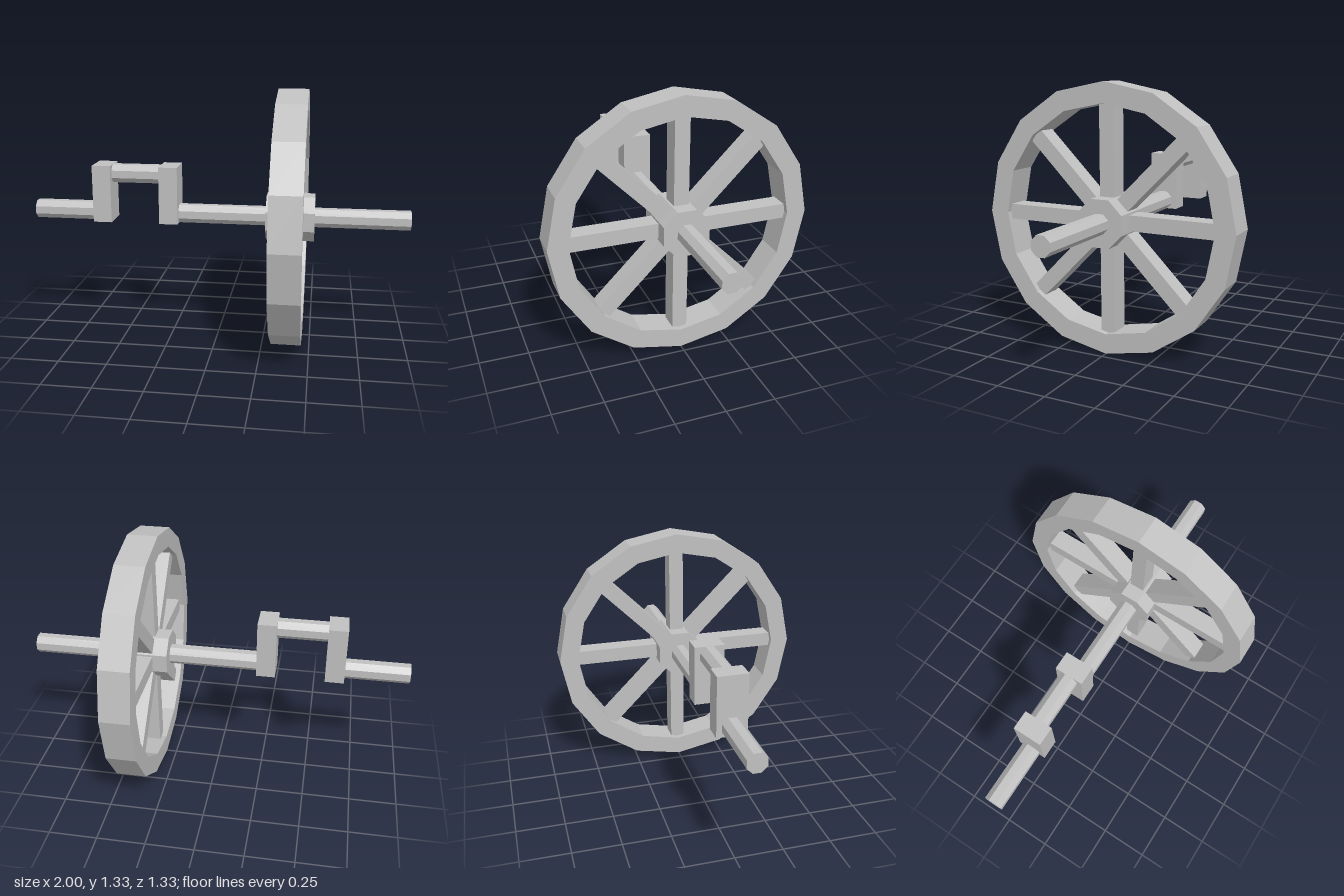
import * as THREE from 'three';

const AXIS_Y = 0.667;   // height of the main shaft
const WHEEL_X = 0.3825; // centre plane of the flywheel

export function createModel() {
  const model = new THREE.Group();
  model.name = 'crankshaftWithFlywheel';
  const metal = new THREE.MeshStandardMaterial({ color: 0xc0c0c0, flatShading: true });
  metal.name = 'greyMetal';

  const add = (name, geometry, parent = model) => {
    const mesh = new THREE.Mesh(geometry, metal);
    mesh.name = name;
    parent.add(mesh);
    return mesh;
  };

  // Octagonal bar along x, with flats facing up and sideways
  const bar = (name, x0, x1, y, apothem) => {
    const r = apothem / Math.cos(Math.PI / 8);
    const g = new THREE.CylinderGeometry(r, r, x1 - x0, 8, 1, false, Math.PI / 8);
    g.rotateZ(Math.PI / 2);
    add(name, g).position.set((x0 + x1) / 2, y, 0);
  };

  // Shaft, interrupted by the crank throw
  bar('outerShaft', -1, -0.64, AXIS_Y, 0.048);
  bar('mainShaft', -0.24, 1, AXIS_Y, 0.048);
  bar('crankPin', -0.6, -0.28, 0.876, 0.048);
  bar('hub', 0.257, 0.508, AXIS_Y, 0.1175);

  // Crank webs
  for (const x of [-0.618, -0.26]) {
    add('crankWeb', new THREE.BoxGeometry(0.099, 0.305, 0.152)).position.set(x, 0.7725, 0);
  }

  // Flywheel rim: 16-sided ring with a corner at the top
  const wheel = new THREE.Group();
  wheel.name = 'flywheel';
  wheel.position.set(WHEEL_X, AXIS_Y, 0);
  model.add(wheel);
  const polygon = (r) => Array.from({ length: 16 }, (_, i) => {
    const a = (i * Math.PI) / 8;
    return new THREE.Vector2(r * Math.cos(a), r * Math.sin(a));
  });
  const ring = new THREE.Shape(polygon(0.667));
  ring.holes.push(new THREE.Path(polygon(0.566)));
  const rim = new THREE.ExtrudeGeometry(ring, { depth: 0.155, bevelEnabled: false });
  rim.translate(0, 0, -0.0775);
  rim.rotateY(Math.PI / 2);
  add('rim', rim, wheel);

  // Eight spokes from the hub into the rim
  for (let i = 0; i < 8; i++) {
    const g = new THREE.BoxGeometry(0.098, 0.52, 0.077);
    g.translate(0, 0.34, 0);
    g.rotateX((i * Math.PI) / 4);
    add('spoke', g, wheel);
  }
  return model;
}
